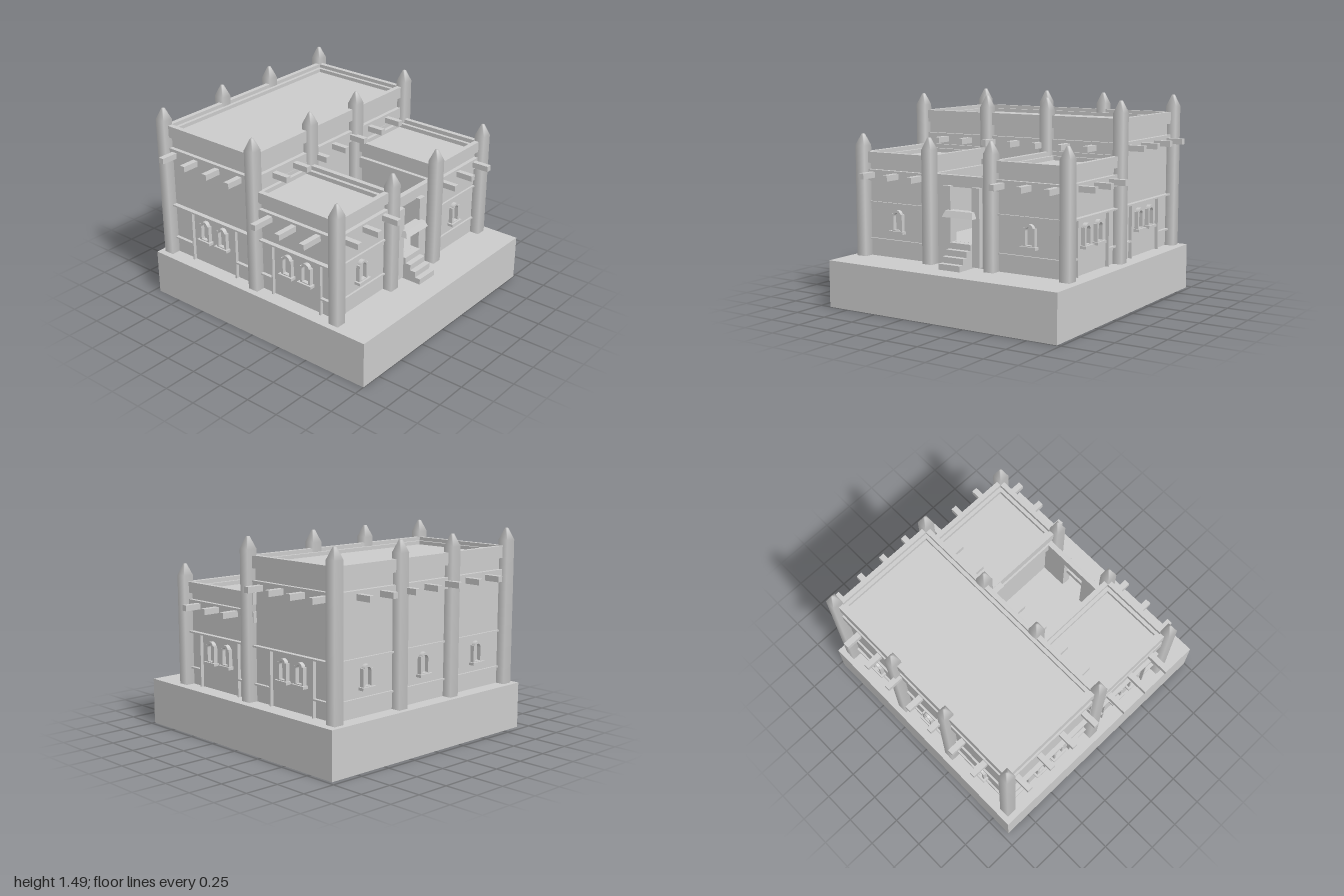
import * as THREE from 'three';

const mat = new THREE.MeshStandardMaterial({ color: 0xcccccc });
const open = new THREE.MeshStandardMaterial({ color: 0xcccccc, side: THREE.DoubleSide });
const GROUND = 0.34;

function add(parent, name, geo, material = mat) {
  const mesh = new THREE.Mesh(geo, material);
  mesh.name = name;
  parent.add(mesh);
  return mesh;
}

// box given by its limits on each axis
function box(parent, name, x0, x1, y0, y1, z0, z1, material) {
  const m = add(parent, name, new THREE.BoxGeometry(x1 - x0, y1 - y0, z1 - z0), material);
  m.position.set((x0 + x1) / 2, (y0 + y1) / 2, (z0 + z1) / 2);
  return m;
}

function rect(target, x0, x1, y0, y1) {
  target.moveTo(x0, y0).lineTo(x1, y0).lineTo(x1, y1).lineTo(x0, y1).closePath();
  return target;
}

// rectangular ring around a plan, inset from its limits
function ring(parent, name, p, inset, thick, y0, y1) {
  const a = inset, b = inset + thick;
  const shape = rect(new THREE.Shape(), p.x0 + a, p.x1 - a, -p.z1 + a, -p.z0 - a);
  shape.holes.push(rect(new THREE.Path(), p.x0 + b, p.x1 - b, -p.z1 + b, -p.z0 - b));
  const geo = new THREE.ExtrudeGeometry(shape, { depth: y1 - y0, bevelEnabled: false });
  geo.rotateX(-Math.PI / 2).translate(0, y0, 0);
  add(parent, name, geo);
}

// block of rooms: walls, band that carries the beams, parapet and inner ledge
function block(parent, name, p, roof, bandY, railY, top) {
  const g = new THREE.Group();
  g.name = name;
  box(g, 'walls', p.x0 + 0.03, p.x1 - 0.03, GROUND, roof, p.z0 + 0.03, p.z1 - 0.03);
  ring(g, 'beamBand', p, 0, 0.05, bandY, bandY + 0.08);
  ring(g, 'parapetRail', p, 0, 0.037, railY, top);
  ring(g, 'innerLedge', p, 0.03, 0.033, railY, (roof + top) / 2);
  parent.add(g);
}

// square post with a pointed tip, softly shaded
function pillar(parent, x, z, shoulder) {
  const r = 0.04 * Math.SQRT2;
  const profile = [[r, GROUND], [r, shoulder], [0.012, shoulder + 0.085], [0, shoulder + 0.085]]
    .map(([a, b]) => new THREE.Vector2(a, b));
  const geo = new THREE.LatheGeometry(profile, 4, Math.PI / 4);
  add(parent, 'pillar', geo).position.set(x, 0, z);
}

// arched window: frame with a round head and a sill, facing +z
function makeWindow(x, z, angle) {
  const g = new THREE.Group();
  g.name = 'window';
  const frame = new THREE.Shape();
  frame.moveTo(-0.046, 0).lineTo(0.046, 0).lineTo(0.046, 0.125).lineTo(0.034, 0.125);
  frame.absarc(0, 0.118, 0.034, 0.2, Math.PI - 0.2, false);
  frame.lineTo(-0.034, 0.125).lineTo(-0.046, 0.125).closePath();
  const hole = new THREE.Path();
  hole.moveTo(-0.028, 0.008).lineTo(-0.028, 0.105);
  hole.absarc(0, 0.105, 0.028, Math.PI, 0, true);
  hole.lineTo(0.028, 0.008).closePath();
  frame.holes.push(hole);
  add(g, 'windowFrame', new THREE.ExtrudeGeometry(frame, { depth: 0.03, bevelEnabled: false, curveSegments: 8 }));
  box(g, 'windowSill', -0.061, 0.061, -0.018, 0.002, 0, 0.045);
  g.position.set(x, 0.54, z);
  g.rotation.y = angle;
  return g;
}

export function createModel() {
  const model = new THREE.Group();
  model.name = 'fort';

  // hollow plinth, open underneath
  const base = box(model, 'plinth', -0.915, 0.972, 0, GROUND, -0.957, 1, open);
  const idx = Array.from(base.geometry.index.array);
  idx.splice(18, 6);
  base.geometry.setIndex(idx);
  base.geometry.clearGroups();

  // tall rear hall and two front rooms
  const hall = { x0: -0.83, x1: 0.873, z0: -0.877, z1: -0.024 };
  const rooms = [
    { x0: -0.83, x1: -0.238, z0: -0.07, z1: 0.70 },
    { x0: 0.278, x1: 0.873, z0: -0.07, z1: 0.70 },
  ];
  block(model, 'rearHall', hall, 1.305, 1.107, 1.27, 1.358);
  rooms.forEach((p) => block(model, 'frontRoom', p, 1.04, 0.893, 1.02, 1.10));

  // pillars
  for (const x of [-0.83, -0.238, 0.278, 0.873]) {
    pillar(model, x, -0.877, 1.4);
    pillar(model, x, -0.024, 1.4);
    pillar(model, x, 0.703, 1.145);
  }

  // projecting roof beams
  const beams = new THREE.Group();
  beams.name = 'roofBeams';
  model.add(beams);
  const h = 0.021;
  const beamZ = (x, y, z0, z1) => box(beams, 'beam', x - h, x + h, y - h, y + h, z0, z1);
  const beamX = (z, y, x0, x1) => box(beams, 'beam', x0, x1, y - h, y + h, z - h, z + h);
  for (let i = 0; i < 7; i++) {
    const x = -0.617 + i * 0.213;
    beamZ(x, 1.145, -1, -0.86);
    beamZ(x, 1.145, -0.04, 0.104);
  }
  for (let i = 0; i < 3; i++) {
    beamZ(-0.75 + i * 0.213, 0.936, 0.68, 0.83);
    beamZ(0.362 + i * 0.213, 0.936, 0.68, 0.83);
    beamX(0.12 + i * 0.213, 0.936, -1, -0.81);
    beamX(0.12 + i * 0.213, 0.936, 0.85, 1);
  }
  for (let i = 0; i < 4; i++) {
    beamX(-0.79 + i * 0.212, 1.145, -0.96, -0.81);
    beamX(-0.79 + i * 0.212, 1.145, 0.85, 1);
  }

  // wall faces
  const xl = -0.80, xr = 0.843, zb = -0.847, zf = 0.67;
  const t = 0.006, out = 0.015;

  // front and back: two courses of trim, windows in each bay
  for (const y of [0.733, 0.465]) {
    box(model, 'backTrim', xl, xr, y - t, y + t, zb - out, zb);
    for (const p of rooms) box(model, 'frontTrim', p.x0 + 0.03, p.x1 - 0.03, y - t, y + t, zf, zf + out);
  }
  for (const x of [-0.537, 0.572]) model.add(makeWindow(x, zf, 0));
  for (const x of [-0.537, 0.02, 0.572]) model.add(makeWindow(x, zb, Math.PI));

  // both sides: framed window panels flanked by split panels
  const bays = [
    { z0: 0.01, z1: 0.67, a: 0.12, b: 0.55, windows: [0.254, 0.425] },
    { z0: -0.84, z1: -0.06, a: -0.66, b: -0.23, windows: [-0.53, -0.36] },
  ];
  for (const [face, dir] of [[xl, -1], [xr, 1]]) {
    const strip = (y0, y1, z0, z1, d) =>
      box(model, 'sideTrim', Math.min(face, face + dir * d), Math.max(face, face + dir * d), y0, y1, z0, z1);
    for (const bay of bays) {
      strip(0.727, 0.739, bay.z0, bay.z1, 0.035);
      strip(0.459, 0.471, bay.z0, bay.a, 0.025);
      strip(0.459, 0.471, bay.b, bay.z1, 0.025);
      for (const z of [bay.a, bay.b]) strip(GROUND, 0.73, z - t, z + t, 0.025);
      for (const z of bay.windows) model.add(makeWindow(face, z, dir * Math.PI / 2));
    }
  }

  // entrance court behind a doorway wall
  const entrance = new THREE.Group();
  entrance.name = 'entrance';
  model.add(entrance);
  box(entrance, 'courtFloor', -0.27, 0.31, GROUND, 0.51, -0.06, 0.65);
  box(entrance, 'doorWall', -0.27, -0.07, GROUND, 0.893, 0.622, 0.655);
  box(entrance, 'doorWall', 0.11, 0.31, GROUND, 0.893, 0.622, 0.655);
  box(entrance, 'lintel', -0.27, 0.31, 0.893, 0.973, 0.618, 0.658);
  box(entrance, 'doorPost', -0.132, -0.07, 0.35, 0.902, 0.645, 0.692);
  box(entrance, 'doorPost', 0.11, 0.172, 0.35, 0.902, 0.645, 0.692);

  // awning, narrower at the top
  const awning = box(entrance, 'awning', -0.107, 0.148, 0.69, 0.735, 0.655, 0.742);
  const pos = awning.geometry.attributes.position;
  for (let i = 0; i < pos.count; i++) {
    if (pos.getY(i) < 0) continue;
    pos.setX(i, pos.getX(i) * 0.87);
    if (pos.getZ(i) > 0) pos.setZ(i, pos.getZ(i) - 0.02);
  }
  awning.geometry.computeVertexNormals();

  // steps
  for (let i = 0; i < 4; i++) {
    box(entrance, 'step', -0.068, 0.108, GROUND, 0.382 + i * 0.0425, 0.64, 0.838 - i * 0.043);
  }
  return model;
}
